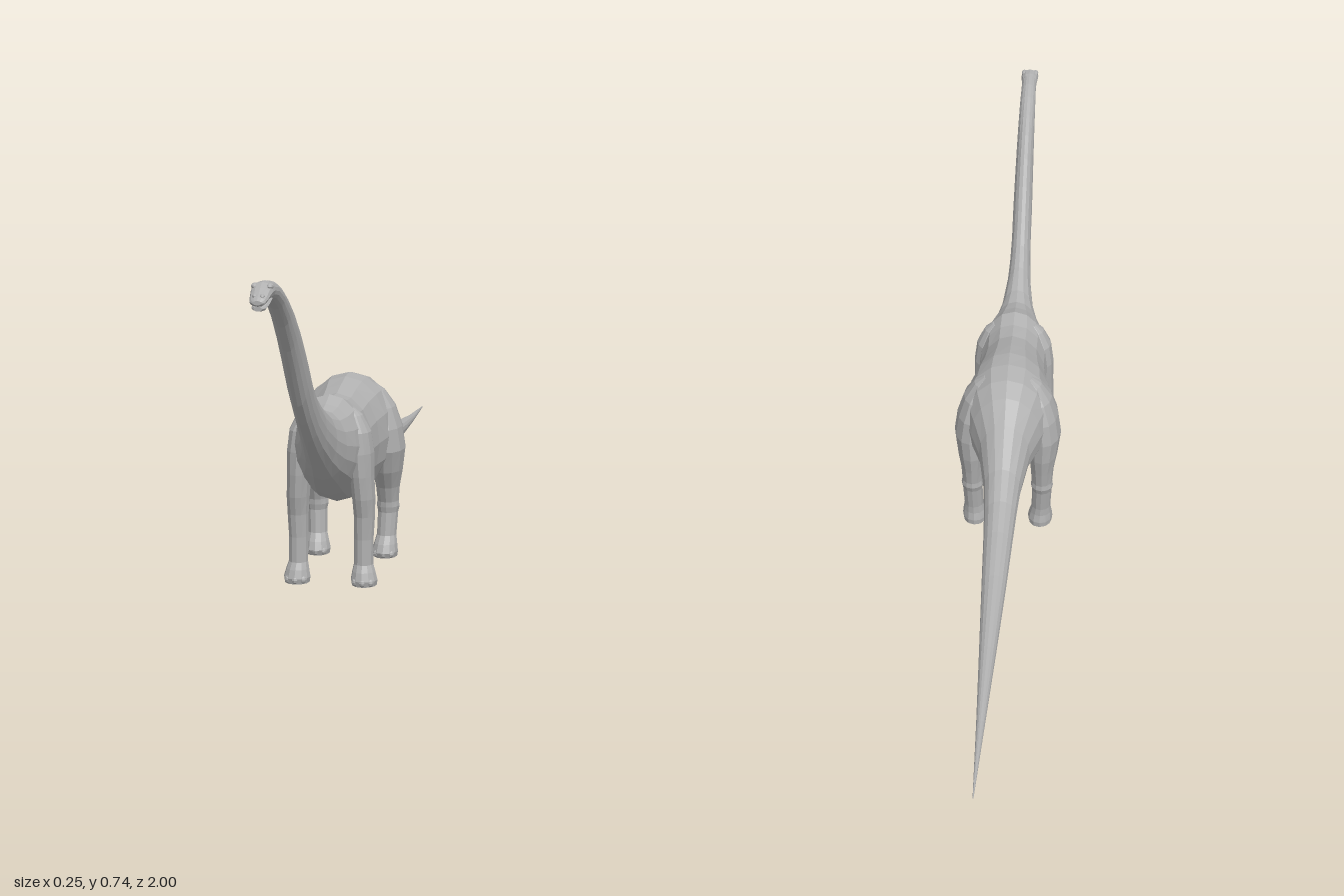
import * as THREE from 'three';

const skin = new THREE.MeshStandardMaterial({ color: 0xb0b0b0, flatShading: true });
skin.name = 'grey skin';

// Skins a run of closed rings (arrays of [x, y, z]) and caps both ends
function loft(name, rings) {
  const n = rings[0].length, pos = rings.flat(2), idx = [];
  for (let i = 0; i < rings.length - 1; i++) {
    for (let j = 0; j < n; j++) {
      const k = (j + 1) % n, a = i * n + j, b = i * n + k;
      idx.push(a, b, b + n, a, b + n, a + n);
    }
  }
  const last = (rings.length - 1) * n;
  for (let j = 1; j < n - 1; j++) idx.push(0, j + 1, j, last, last + j, last + j + 1);
  const geo = new THREE.BufferGeometry();
  geo.setAttribute('position', new THREE.Float32BufferAttribute(pos, 3));
  geo.setIndex(idx);
  geo.computeVertexNormals();
  const mesh = new THREE.Mesh(geo, skin);
  mesh.name = name;
  return mesh;
}

// Upright ring for the trunk: [z, top, bottom, half width]
function trunkRing([z, top, bottom, w], n = 16) {
  return Array.from({ length: n }, (_, j) => {
    const t = (j / n) * Math.PI * 2;
    return [w * Math.cos(t), (top + bottom) / 2 + (top - bottom) / 2 * Math.sin(t), z];
  });
}

// Level ring for a leg: [y, centre x, centre z, half width, half depth]
function legRing([y, x, z, rx, rz], n = 12) {
  return Array.from({ length: n }, (_, j) => {
    const t = (j / n) * Math.PI * 2;
    return [x + rx * Math.sin(t), y, z + rz * Math.cos(t)];
  });
}

const tail = [
  [-1, 0.136, 0.133, 0.001], [-0.8, 0.151, 0.131, 0.009], [-0.6, 0.174, 0.135, 0.018],
  [-0.4, 0.202, 0.15, 0.027], [-0.28, 0.227, 0.162, 0.032], [-0.2, 0.25, 0.17, 0.036],
  [-0.13, 0.285, 0.18, 0.042], [-0.05, 0.347, 0.188, 0.058],
];
const body = [
  [-0.05, 0.347, 0.188, 0.058], [0, 0.388, 0.182, 0.08], [0.04, 0.41, 0.17, 0.096],
  [0.09, 0.42, 0.16, 0.102], [0.14, 0.419, 0.155, 0.096], [0.19, 0.41, 0.156, 0.085],
  [0.24, 0.4, 0.162, 0.08], [0.285, 0.402, 0.175, 0.081], [0.325, 0.413, 0.195, 0.077],
  [0.365, 0.4, 0.222, 0.066], [0.4, 0.394, 0.245, 0.052],
];
const neck = [
  [0.4, 0.394, 0.245, 0.052], [0.44, 0.402, 0.275, 0.039], [0.5, 0.431, 0.318, 0.029],
  [0.55, 0.463, 0.357, 0.025], [0.6, 0.51, 0.4, 0.023], [0.65, 0.572, 0.447, 0.023],
  [0.7, 0.622, 0.51, 0.022], [0.75, 0.66, 0.572, 0.021], [0.8, 0.69, 0.627, 0.02],
  [0.85, 0.714, 0.669, 0.019], [0.89, 0.728, 0.69, 0.018], [0.93, 0.734, 0.698, 0.018],
];
const skull = [
  [0.915, 0.731, 0.697, 0.016], [0.935, 0.735, 0.699, 0.02], [0.958, 0.735, 0.701, 0.021],
  [0.972, 0.727, 0.7, 0.019], [0.986, 0.717, 0.697, 0.017], [0.996, 0.712, 0.695, 0.015],
  [1, 0.706, 0.698, 0.009],
];
const jaw = [
  [0.94, 0.709, 0.697, 0.015], [0.965, 0.704, 0.69, 0.016], [0.985, 0.698, 0.685, 0.014],
  [0.995, 0.695, 0.686, 0.008],
];
const frontLeg = [
  [0, 0.073, 0.315, 0.027, 0.029], [0.012, 0.073, 0.316, 0.029, 0.031],
  [0.03, 0.072, 0.314, 0.025, 0.027], [0.045, 0.071, 0.311, 0.021, 0.022],
  [0.1, 0.071, 0.309, 0.021, 0.023], [0.15, 0.072, 0.308, 0.023, 0.028],
  [0.19, 0.071, 0.31, 0.025, 0.036], [0.24, 0.068, 0.312, 0.026, 0.041],
  [0.29, 0.065, 0.313, 0.029, 0.043], [0.335, 0.06, 0.315, 0.028, 0.038],
  [0.37, 0.05, 0.317, 0.02, 0.024], [0.385, 0.042, 0.318, 0.01, 0.012],
];
const hindLeg = [
  [0, 0.077, 0.066, 0.027, 0.033], [0.012, 0.077, 0.068, 0.029, 0.036],
  [0.03, 0.078, 0.066, 0.026, 0.03], [0.048, 0.079, 0.06, 0.022, 0.024],
  [0.1, 0.081, 0.053, 0.023, 0.025], [0.113, 0.081, 0.052, 0.026, 0.029],
  [0.125, 0.081, 0.053, 0.024, 0.029], [0.16, 0.081, 0.057, 0.027, 0.039],
  [0.2, 0.082, 0.066, 0.034, 0.056], [0.25, 0.084, 0.075, 0.039, 0.068],
  [0.3, 0.078, 0.078, 0.038, 0.067], [0.345, 0.068, 0.078, 0.033, 0.053],
  [0.38, 0.055, 0.078, 0.022, 0.03], [0.395, 0.045, 0.078, 0.01, 0.015],
];

// Small faceted lump
function lump(name, x, y, z, sx, sy, sz) {
  const mesh = new THREE.Mesh(new THREE.SphereGeometry(1, 8, 6), skin);
  mesh.name = name;
  mesh.position.set(x, y, z);
  mesh.scale.set(sx, sy, sz);
  return mesh;
}

// Leg with three toes, placed on the given side
function makeLeg(name, rows, side) {
  const leg = new THREE.Group();
  leg.name = name;
  const rings = rows.map(([y, x, z, rx, rz]) => legRing([y, x * side, z, rx, rz]));
  leg.add(loft(name + 'Limb', rings));
  const [, x, z, , rz] = rows[0];
  for (const t of [-1, 0, 1]) {
    leg.add(lump(name + 'Toe', x * side + t * 0.016, 0.009, z + rz - 0.004 - Math.abs(t) * 0.006,
      0.008, 0.009, 0.009));
  }
  return leg;
}

export function createModel() {
  const model = new THREE.Group();
  model.name = 'longNeckedDinosaur';

  // Trunk, from tail tip to shoulders, and the neck
  model.add(loft('tail', tail.map((r) => trunkRing(r))));
  model.add(loft('body', body.map((r) => trunkRing(r))));
  model.add(loft('neck', neck.map((r) => trunkRing(r))));

  // Head with open jaw, brows and nostrils
  const head = new THREE.Group();
  head.name = 'head';
  head.add(loft('skull', skull.map((r) => trunkRing(r, 12))));
  head.add(loft('lowerJaw', jaw.map((r) => trunkRing(r, 10))));
  for (const side of [1, -1]) {
    head.add(lump('brow', side * 0.014, 0.727, 0.956, 0.007, 0.006, 0.012));
    head.add(lump('nostril', side * 0.007, 0.713, 0.988, 0.005, 0.004, 0.007));
  }
  model.add(head);

  // Legs in mirrored pairs
  for (const side of [1, -1]) {
    const word = side > 0 ? 'left' : 'right';
    model.add(makeLeg(word + 'FrontLeg', frontLeg, side));
    model.add(makeLeg(word + 'HindLeg', hindLeg, side));
  }
  return model;
}
